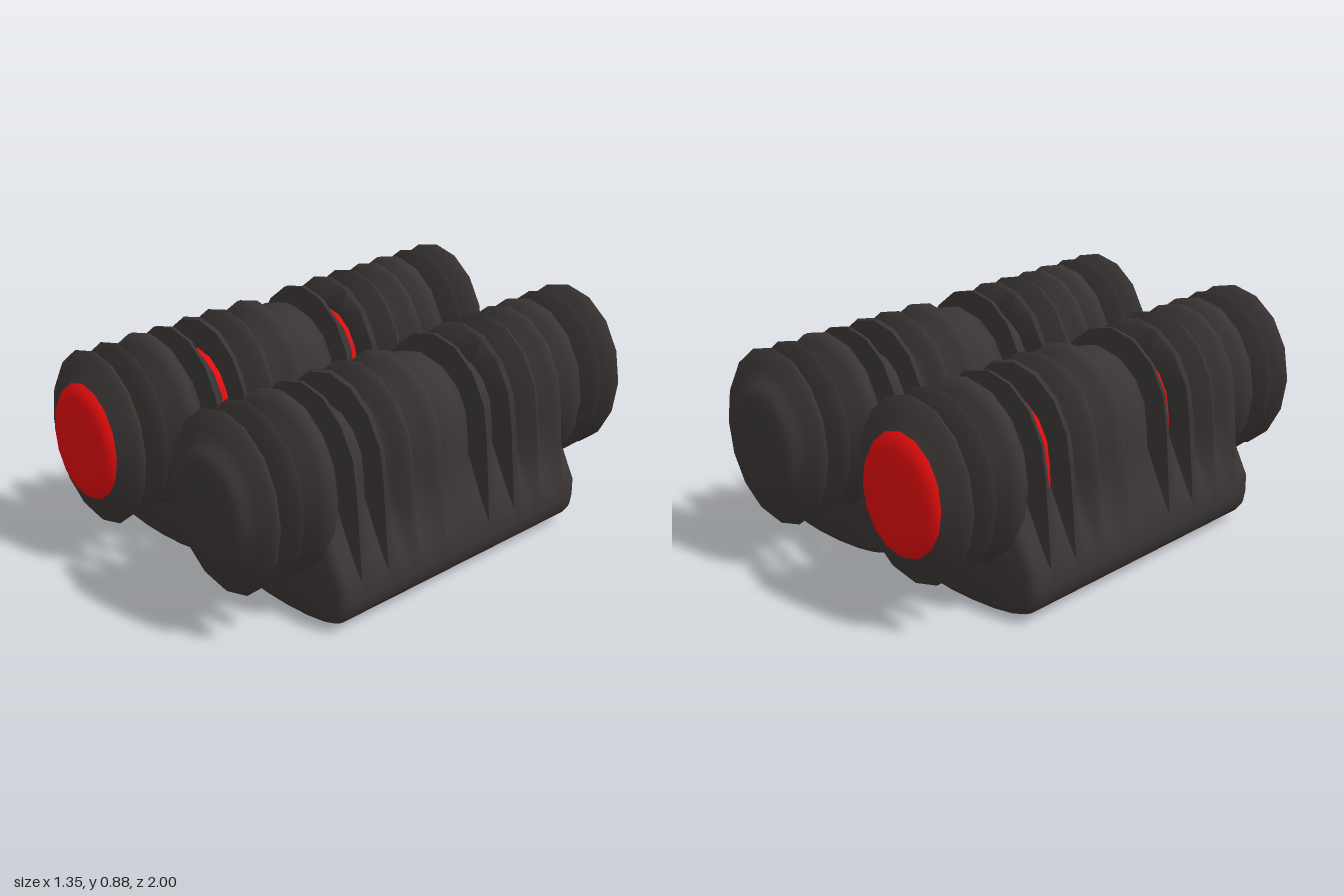
import * as THREE from 'three';
import { toCreasedNormals } from 'three/addons/utils/BufferGeometryUtils.js';

const CY = 0.53, RX = 0.283, RY = 0.347; // oval centre height and radii

// Skins closed rings into a surface, keeping only faces accepted by pick(|z|, y).
function skin(rings, pick) {
  const pos = [];
  for (let i = 0; i < rings.length - 1; i++) {
    const n = rings[i].length;
    for (let j = 0; j < n; j++) {
      const k = (j + 1) % n;
      const a = rings[i][j], b = rings[i][k], c = rings[i + 1][k], d = rings[i + 1][j];
      if (!pick(Math.abs(a[2] + d[2]) / 2, (a[1] + b[1] + c[1] + d[1]) / 4)) continue;
      const tris = [[a, b, c], [a, c, d]];
      for (const t of tris) for (const p of t) pos.push(...p);
    }
  }
  const g = new THREE.BufferGeometry();
  g.setAttribute('position', new THREE.Float32BufferAttribute(pos, 3));
  return toCreasedNormals(g, 1.0);
}

// Bellows end: [z, radius factor], from the body outwards
const endProfile = [
  [0.5, 0.5], [0.56, 0.64], [0.6, 0.8], [0.63, 0.95], [0.655, 1], [0.675, 0.995], [0.7, 0.9],
  [0.72, 0.68], [0.74, 0.6], [0.765, 0.58], [0.78, 0.7], [0.788, 0.95], [0.8, 1], [0.812, 0.95],
  [0.82, 0.7], [0.828, 0.59], [0.84, 0.59], [0.852, 0.65], [0.875, 0.8], [0.898, 0.97],
  [0.915, 1], [0.93, 0.95], [0.945, 0.8], [0.967, 0.67], [0.985, 0.63], [0.996, 0.52], [1, 0.35], [1, 0],
];
const endRed = (z) => z > 0.967 || (z > 0.826 && z < 0.848) || (z > 0.74 && z < 0.765);

function endRing([z, s]) {
  return Array.from({ length: 16 }, (_, i) => {
    const a = (i * Math.PI) / 8;
    return [Math.cos(a) * RX * s, CY + Math.sin(a) * RY * s, z];
  });
}

// Ribbed body: [z, arch factor], from the middle outwards
const bodyProfile = [
  [0, 0.87], [0.04, 0.85], [0.08, 0.77], [0.114, 0.67], [0.12, 0.99], [0.135, 0.99], [0.16, 0.9],
  [0.2, 0.74], [0.235, 0.65], [0.26, 0.64], [0.267, 0.97], [0.284, 1], [0.298, 0.96], [0.314, 0.8],
  [0.335, 0.66], [0.357, 0.65], [0.372, 0.76], [0.39, 0.92], [0.405, 1], [0.42, 0.98], [0.426, 0.65],
  [0.455, 0.66], [0.49, 0.77], [0.52, 0.9], [0.54, 0.99], [0.553, 0.99], [0.558, 0.64],
  [0.615, 0.64], [0.635, 0.63], [0.645, 0.6],
];
const bodyRed = (z, y) => y > 0.47 &&
  ((z > 0.427 && z < 0.455) || (z > 0.335 && z < 0.357) || (z > 0.235 && z < 0.26));

// Right half of the body outline, bottom to top; the upper points follow the oval
const halfOutline = [
  [0, 0.002], [0.12, 0.007], [0.21, 0.022], [0.27, 0.045], [0.3, 0.085], [0.308, 0.13],
  [0.308, 0.2], [0.303, 0.27], [0.297, 0.36], [0.29, 0.45],
];
for (let i = 0; i <= 4; i++) {
  const a = (i * Math.PI) / 8;
  halfOutline.push([Math.cos(a) * RX, CY + Math.sin(a) * RY]);
}
halfOutline[halfOutline.length - 1][0] = 0;

function bodyRing(z, s) {
  // Soften the end edges of the base
  const az = Math.abs(z), inset = az > 0.64 ? 0.035 : az > 0.62 ? 0.01 : 0;
  const half = halfOutline.map(([x, y]) => {
    const fade = THREE.MathUtils.clamp((y - 0.2) / 0.25, 0, 1); // grooves run out at the base
    const f = 1 - (1 - s) * fade;
    const yy = y > CY ? CY + (y - CY) * s : y;
    return [Math.max(0, x * f - inset), y < 0.2 ? Math.max(yy, inset + yy * 0.8) : yy, z];
  });
  const left = half.slice(1, -1).reverse().map(([x, y, w]) => [-x, y, w]);
  return [...half, ...left];
}

export function createModel() {
  const dark = new THREE.MeshStandardMaterial({ color: 0x3b3535 });
  dark.name = 'charcoal rubber';
  const red = new THREE.MeshStandardMaterial({ color: 0xe00c0c });
  red.name = 'red insert';

  const endRings = endProfile.map(endRing);
  const sections = [...bodyProfile.slice(1).reverse().map(([z, s]) => [-z, s]), ...bodyProfile];
  const bodyRings = sections.map(([z, s]) => bodyRing(z, s));
  // Close both ends of the body
  const tip = (z) => bodyRings[0].map(() => [0, 0.3, z]);
  bodyRings.unshift(tip(-0.645));
  bodyRings.push(tip(0.645));

  const model = new THREE.Group();
  model.name = 'ribbedPair';

  function addParts(parent, name, rings, isRed, hasRed) {
    const add = (label, pick, mat) => {
      const m = new THREE.Mesh(skin(rings, pick), mat);
      m.name = label;
      parent.add(m);
    };
    add(name, (z, y) => !(hasRed && isRed(z, y)), dark);
    if (hasRed) add(name + 'Inserts', isRed, red);
  }

  for (const side of [-1, 1]) {
    const unit = new THREE.Group();
    unit.name = side < 0 ? 'rightUnit' : 'leftUnit';
    unit.position.x = side * 0.368;
    const hasRed = side < 0; // only the right unit carries red inserts
    addParts(unit, 'ribbedBody', bodyRings, bodyRed, hasRed);
    for (const end of ['front', 'back']) {
      const bellows = new THREE.Group();
      bellows.name = end + 'Bellows';
      if (end === 'back') bellows.rotation.y = Math.PI;
      addParts(bellows, 'bellows', endRings, endRed, hasRed);
      unit.add(bellows);
    }
    model.add(unit);
  }
  return model;
}
